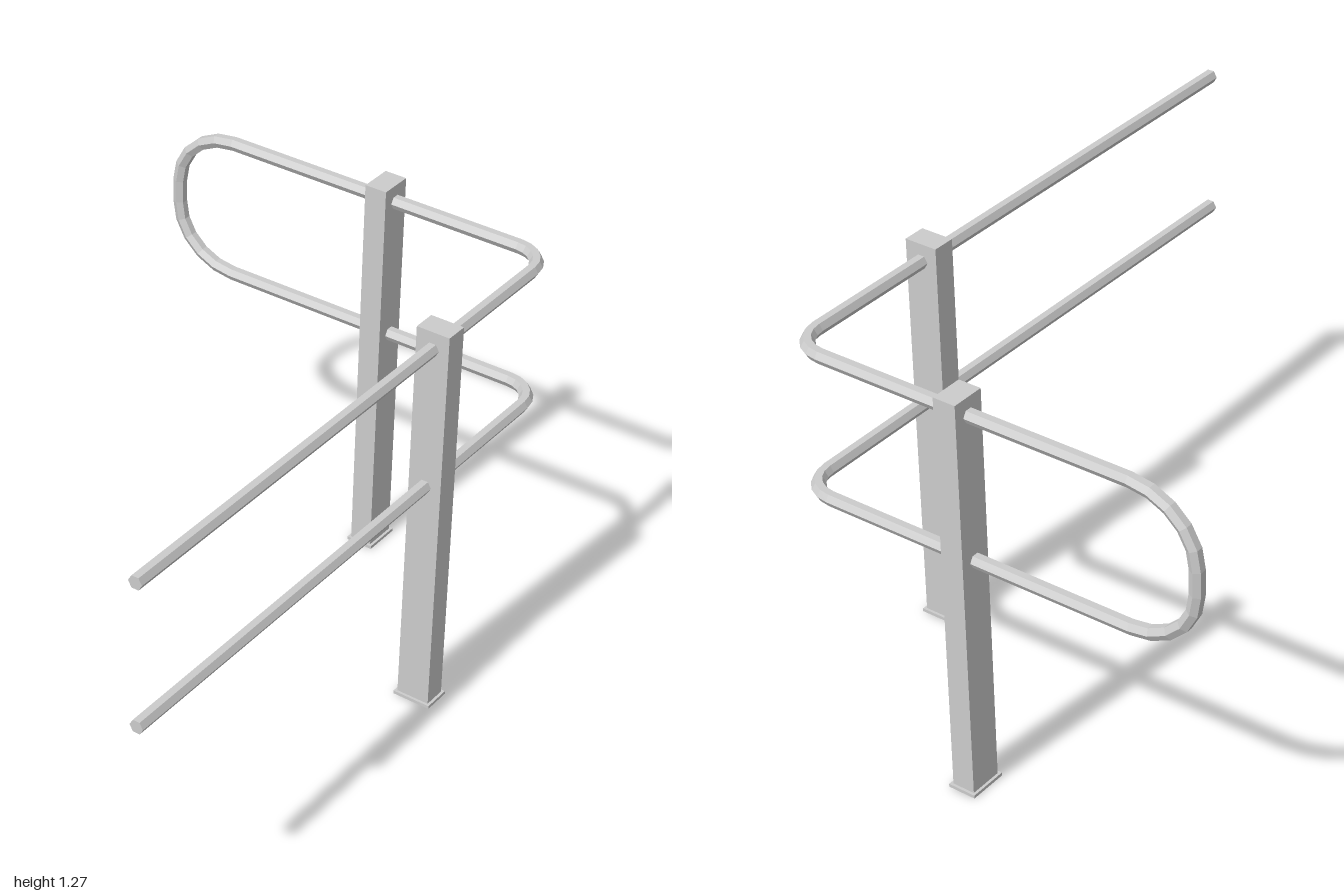
import * as THREE from 'three';

const material = new THREE.MeshStandardMaterial({ color: 0xcccccc, flatShading: true });

const X = 0.938, Z = 0.638;          // rail lines along the side and the front
const TOP = 1.22, LOW = 0.766;       // rail heights
const TUBE_R = 0.0215, SIDES = 6;

// Quarter bend between two axis directions, in 5 straight pieces
function quarter(center, from, to) {
  return Array.from({ length: 6 }, (_, i) => {
    const a = (i / 5) * Math.PI / 2;
    return center.clone().addScaledVector(from, Math.cos(a)).addScaledVector(to, Math.sin(a));
  });
}

// Sweeps a hexagon with side ridges along a polyline and caps both ends
function sweep(path) {
  const pos = [], index = [];
  const n = path.length;
  const side = new THREE.Vector3(0, 0, 1);
  path.forEach((p, i) => {
    const before = p.clone().sub(path[Math.max(i - 1, 0)]).normalize();
    const after = path[Math.min(i + 1, n - 1)].clone().sub(p).normalize();
    const t = before.add(after).normalize();
    side.addScaledVector(t, -side.dot(t)).normalize();
    const up = new THREE.Vector3().crossVectors(t, side);
    for (let k = 0; k < SIDES; k++) {
      const a = (k / SIDES) * Math.PI * 2;
      const v = p.clone()
        .addScaledVector(side, TUBE_R * Math.cos(a))
        .addScaledVector(up, TUBE_R * Math.sin(a));
      pos.push(v.x, v.y, v.z);
    }
  });
  for (let i = 0; i < n - 1; i++) {
    for (let k = 0; k < SIDES; k++) {
      const a = i * SIDES + k, b = i * SIDES + (k + 1) % SIDES;
      index.push(a, b, b + SIDES, a, b + SIDES, a + SIDES);
    }
  }
  const last = (n - 1) * SIDES;
  for (let k = 1; k < SIDES - 1; k++) {
    index.push(0, k + 1, k, last, last + k, last + k + 1);
  }
  const geo = new THREE.BufferGeometry();
  geo.setAttribute('position', new THREE.Float32BufferAttribute(pos, 3));
  geo.setIndex(index);
  geo.computeVertexNormals();
  return geo;
}

// One continuous handrail: front run, corner, side run, end loop and back along the lower run
function createRail() {
  const v = (x, y, z) => new THREE.Vector3(x, y, z);
  const r = 0.1, loopZ = 0.205, loopY = 0.19, endZ = -0.676;
  const corner = (y) => quarter(v(X - r, y, Z - r), v(0, 0, r), v(r, 0, 0));
  const path = [
    v(-1, TOP, Z),
    ...corner(TOP),
    ...quarter(v(X, TOP - loopY, endZ + loopZ), v(0, loopY, 0), v(0, 0, -loopZ)),
    ...quarter(v(X, LOW + loopY, endZ + loopZ), v(0, 0, -loopZ), v(0, -loopY, 0)),
    ...corner(LOW).reverse(),
    v(-1, LOW, Z),
  ];
  const rail = new THREE.Mesh(sweep(path), material);
  rail.name = 'handrail';
  return rail;
}

function rectangle(PathType, w, d) {
  return new PathType([[-w, -d], [w, -d], [w, d], [-w, d]]
    .map(([x, y]) => new THREE.Vector2(x / 2, y / 2)));
}

// Hollow post, open underneath, standing in a thin base flange
function createPost(name) {
  const w = 0.072, d = 0.106, height = 1.275, base = 0.01;
  const post = new THREE.Group();
  post.name = name;

  const box = new THREE.BoxGeometry(w, height - base, d);
  const faces = Array.from(box.index.array);
  faces.splice(18, 6); // leave the underside open
  box.setIndex(faces);
  box.clearGroups();
  box.translate(0, (height + base) / 2, 0);
  const column = new THREE.Mesh(box, material);
  column.name = 'postColumn';

  const outline = rectangle(THREE.Shape, w + 0.017, d + 0.017);
  outline.holes.push(rectangle(THREE.Path, w, d));
  const plate = new THREE.ExtrudeGeometry(outline, { depth: base, bevelEnabled: false });
  plate.rotateX(-Math.PI / 2);
  const flange = new THREE.Mesh(plate, material);
  flange.name = 'baseFlange';

  post.add(column, flange);
  return post;
}

export function createModel() {
  const model = new THREE.Group();
  model.name = 'cornerRailing';

  const frontPost = createPost('frontPost');
  frontPost.position.set(0.362, 0, Z);

  const sidePost = createPost('sidePost');
  sidePost.position.set(X, 0, 0.075);
  sidePost.rotation.y = Math.PI / 2;

  model.add(createRail(), frontPost, sidePost);
  return model;
}
